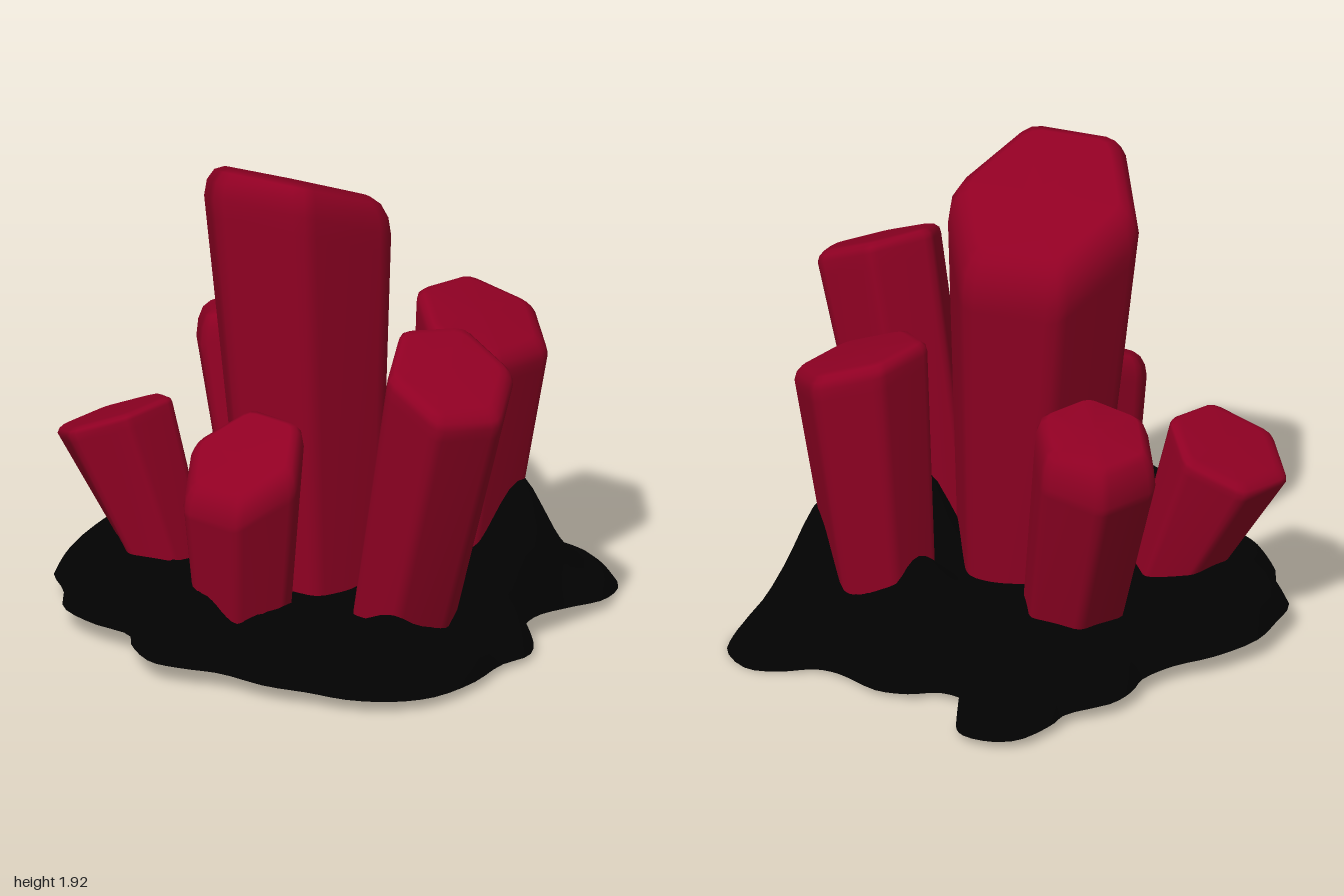
import * as THREE from 'three';

const crystalRed = new THREE.MeshStandardMaterial({ color: 0x900023 });
crystalRed.name = 'crystal red';
const rockBlack = new THREE.MeshStandardMaterial({ color: 0x020202, side: THREE.DoubleSide });
rockBlack.name = 'rock black';

// Skin a stack of closed rings (bottom to top) into one smooth surface
function loft(rings) {
  const n = rings[0].length, index = [];
  for (let j = 0; j < rings.length - 1; j++) {
    for (let i = 0; i < n; i++) {
      const a = j * n + i, b = j * n + (i + 1) % n, c = a + n, d = b + n;
      index.push(a, c, b, b, c, d);
    }
  }
  const geo = new THREE.BufferGeometry().setFromPoints(rings.flat());
  geo.setIndex(index);
  geo.computeVertexNormals();
  return geo;
}

// Unit hexagon with softened corners, three points per corner
function softHexagon(rot) {
  const corner = k => new THREE.Vector2(Math.cos(rot + k * Math.PI / 3), Math.sin(rot + k * Math.PI / 3));
  const pts = [];
  for (let k = 0; k < 6; k++) {
    const v = corner(k);
    pts.push(v.clone().lerp(corner(k - 1), 0.13), v.clone().multiplyScalar(0.965), v.clone().lerp(corner(k + 1), 0.13));
  }
  return pts;
}

// Leaning, flaring hexagonal crystal with a bevelled, slanted cap and an open foot
function crystal(name, { base, top, r0, r1, rot, slope, bevel }) {
  const hex = softHexagon(THREE.MathUtils.degToRad(rot));
  const b = new THREE.Vector3(...base), t = new THREE.Vector3(...top);
  const foot = hex.map(p => new THREE.Vector3(b.x + p.x * r0, b.y, b.z + p.y * r0));
  const capRing = (s, drop) => hex.map(p => {
    const x = p.x * r1 * s, z = p.y * r1 * s;
    return new THREE.Vector3(t.x + x, t.y + slope[0] * x + slope[1] * z - drop, t.z + z);
  });
  const sideTop = capRing(1, bevel);
  const side = f => foot.map((p, i) => p.clone().lerp(sideTop[i], f));
  const mesh = new THREE.Mesh(loft([
    foot, side(0.95), sideTop,
    capRing(0.97, bevel * 0.5), capRing(0.89, bevel * 0.15), capRing(0.78, 0), capRing(0, 0),
  ]), crystalRed);
  mesh.name = name;
  return mesh;
}

// Rock outline on the ground as x, z pairs
const OUTLINE = [
  -1, 0.3, -0.97, 0.45, -0.92, 0.6, -0.78, 0.7, -0.67, 0.82, -0.5, 0.85, -0.33, 0.83, -0.25, 0.9,
  -0.1, 0.96, 0.02, 0.92, 0.15, 0.85, 0.35, 0.81, 0.5, 0.74, 0.65, 0.68, 0.78, 0.57, 0.86, 0.42,
  0.87, 0.2, 0.83, 0, 0.84, -0.15, 0.75, -0.27, 0.65, -0.33, 0.61, -0.45, 0.64, -0.6, 0.68, -0.75,
  0.63, -0.89, 0.47, -0.97, 0.35, -0.92, 0.25, -0.83, 0.15, -0.81, -0.05, -0.84, -0.17, -0.8,
  -0.27, -0.72, -0.39, -0.72, -0.45, -0.8, -0.48, -0.89, -0.55, -0.95, -0.67, -0.94, -0.76, -0.87,
  -0.79, -0.7, -0.78, -0.6, -0.87, -0.42, -0.87, -0.3, -0.84, -0.2, -0.87, -0.05, -0.95, 0.1,
];

// Mounds creeping up around the crystals: x, z, height, radius
const MOUNDS = [
  [-0.22, 0.72, 0.14, 0.16], [0.4, 0.66, 0.16, 0.15], [0.72, 0.5, 0.17, 0.17], [-0.8, 0.35, 0.05, 0.2],
  [0.3, -0.1, 0.36, 0.14], [0.45, -0.49, 0.4, 0.17], [0.1, -0.43, 0.22, 0.17], [-0.4, -0.2, 0.07, 0.22],
  [0.04, 0.8, 0.14, 0.15],
];

function rockHeight(x, z, t) {
  const rim = 0.045 - 0.022 * x + 0.035 * z;
  const shoulder = 1 - t ** 14;
  const mounds = MOUNDS.reduce((h, [mx, mz, a, r]) =>
    h + a * Math.exp(-((x - mx) ** 2 + (z - mz) ** 2) / (r * r)), 0);
  return Math.max(0, rim + shoulder * (0.16 + 0.03 * z + mounds));
}

function rock() {
  const pts = [];
  for (let i = 0; i < OUTLINE.length; i += 2) pts.push(new THREE.Vector3(OUTLINE[i], 0, OUTLINE[i + 1]));
  const edge = new THREE.CatmullRomCurve3(pts.reverse(), true).getPoints(132).slice(0, -1);
  const steps = [1, 0.995, 0.985, 0.97, 0.95, 0.925, 0.89];
  for (let k = 21; k >= 0; k--) steps.push(k * 0.04);
  const mesh = new THREE.Mesh(loft(steps.map(t => edge.map(p =>
    new THREE.Vector3(p.x * t, rockHeight(p.x * t, p.z * t, t), p.z * t)))), rockBlack);
  mesh.name = 'rockBase';
  return mesh;
}

export function createModel() {
  const model = new THREE.Group();
  model.name = 'crystalCluster';
  model.add(
    rock(),
    crystal('mainCrystal', { base: [-0.03, 0.16, 0.12], top: [-0.133, 1.785, 0.088], r0: 0.29, r1: 0.4, rot: -16, slope: [0.12, 0.47], bevel: 0.14 }),
    crystal('leftCrystal', { base: [0.48, 0.17, 0.165], top: [0.752, 1.3, 0.203], r0: 0.215, r1: 0.258, rot: 0, slope: [-0.45, -0.17], bevel: 0.05 }),
    crystal('backCrystal', { base: [0.245, 0.17, -0.41], top: [0.323, 1.19, -0.455], r0: 0.21, r1: 0.27, rot: -24, slope: [-0.35, 0.03], bevel: 0.06 }),
    crystal('rightBackCrystal', { base: [-0.42, 0.09, -0.12], top: [-0.625, 1.04, -0.22], r0: 0.2, r1: 0.255, rot: -15, slope: [0.25, 0.12], bevel: 0.14 }),
    crystal('rightFrontCrystal', { base: [-0.52, 0.17, 0.375], top: [-0.743, 0.77, 0.45], r0: 0.165, r1: 0.237, rot: 97, slope: [0.45, 0], bevel: 0.03 }),
    crystal('frontCrystal', { base: [0.05, 0.2, 0.6], top: [0.077, 0.89, 0.628], r0: 0.2, r1: 0.253, rot: -5, slope: [-0.06, -0.5], bevel: 0.09 }),
  );
  return model;
}
